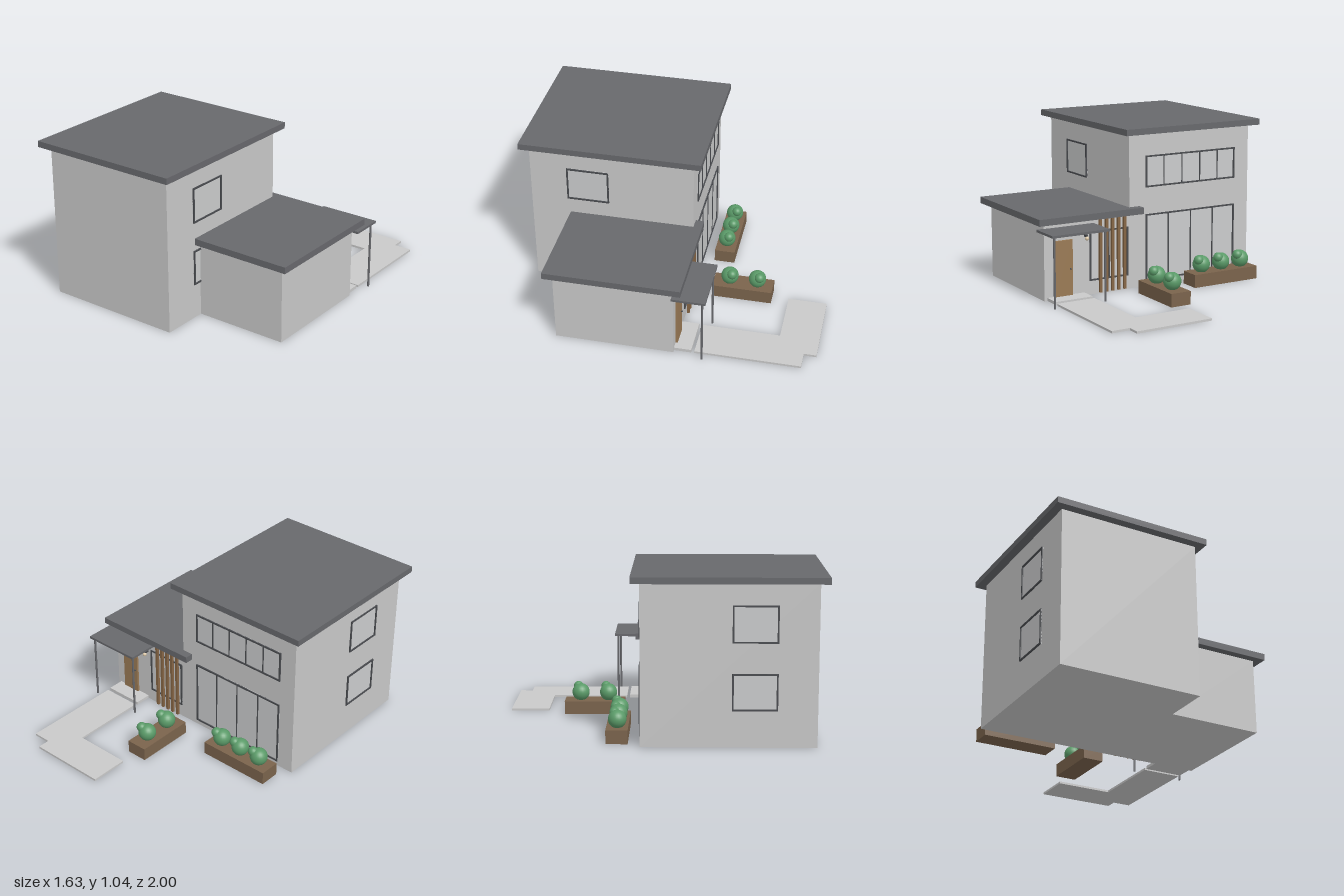
import * as THREE from 'three';

const mat = (name, color) => new THREE.MeshStandardMaterial({ name, color });

export function createModel() {
  const house = new THREE.Group();
  house.name = 'house';
  const wall = mat('wall grey', 0xc8c8c8);
  const roof = mat('roof slate', 0x67686c);
  const frame = mat('frame dark grey', 0x4a4c50);
  const glass = mat('glass pale grey', 0xcacbcc);
  const paving = mat('paving grey', 0xc9c9c9);
  const planterWood = mat('planter brown', 0x7a634c);
  const doorWood = mat('door tan', 0x9a7a55);
  const slatWood = mat('slat brown', 0x856544);
  const leaf = mat('leaf green', 0x5a9a68);
  const lampCream = mat('lamp cream', 0xd8c4a4);

  const add = (parent, name, geometry, material, x = 0, y = 0, z = 0) => {
    const mesh = new THREE.Mesh(geometry, material);
    mesh.name = name;
    mesh.position.set(x, y, z);
    parent.add(mesh);
    return mesh;
  };
  // Box given by its minimum and maximum on each axis
  const block = (parent, name, material, x0, x1, y0, y1, z0, z1) =>
    add(parent, name, new THREE.BoxGeometry(x1 - x0, y1 - y0, z1 - z0), material,
      (x0 + x1) / 2, (y0 + y1) / 2, (z0 + z1) / 2);

  // Two-storey block and single-storey wing, each under a flat overhanging roof
  block(house, 'mainWalls', wall, -0.765, 0.15, 0, 0.998, -0.12, 0.945);
  block(house, 'mainRoof', roof, -0.82, 0.2, 0.998, 1.038, -0.175, 1);
  block(house, 'wingWalls', wall, 0.15, 0.76, 0, 0.49, -0.12, 0.64);
  block(house, 'wingRoof', roof, 0.075, 0.815, 0.49, 0.532, -0.175, 0.69);

  // Window facing +z in its own frame: thin panes, border and mullions
  const addWindow = (name, width, height, panes, x, y, z, turn) => {
    const g = new THREE.Group();
    g.name = name;
    const w = width / 2, h = height / 2, t = 0.01, d = 0.009;
    block(g, 'glass', glass, -w, w, -h, h, 0, 0.002);
    for (const s of [-1, 1]) {
      add(g, 'frameRail', new THREE.BoxGeometry(width, t, d), frame, 0, s * (h - t / 2), d / 2);
      add(g, 'frameStile', new THREE.BoxGeometry(t, height - 2 * t, d), frame, s * (w - t / 2), 0, d / 2);
    }
    for (let i = 1; i < panes; i++)
      add(g, 'mullion', new THREE.BoxGeometry(0.007, height - 2 * t, 0.007), frame,
        -w + (width * i) / panes, 0, 0.0035);
    g.position.set(x, y, z);
    g.rotation.y = turn;
    house.add(g);
  };
  addWindow('upperBackWindow', 0.685, 0.205, 5, -0.312, 0.752, -0.12, Math.PI);
  addWindow('lowerBackWindow', 0.685, 0.44, 4, -0.312, 0.255, -0.12, Math.PI);
  addWindow('wingWindow', 0.28, 0.32, 2, 0.302, 0.25, -0.12, Math.PI);
  for (const y of [0.34, 0.752]) {
    addWindow('leftSideWindow', 0.275, 0.228, 1, 0.15, y, 0.568, Math.PI / 2);
    addWindow('rightSideWindow', 0.275, 0.228, 1, -0.765, y, 0.568, -Math.PI / 2);
  }

  // Entrance: door, step, wall lamp and timber screen
  block(house, 'door', doorWood, 0.567, 0.69, 0.02, 0.375, -0.134, -0.12);
  add(house, 'doorHandle', new THREE.SphereGeometry(0.006, 12, 8), frame, 0.583, 0.19, -0.138);
  block(house, 'doorStep', paving, 0.48, 0.74, 0, 0.02, -0.23, -0.12);
  block(house, 'lampBracket', frame, 0.468, 0.48, 0.38, 0.395, -0.152, -0.12);
  add(house, 'lamp', new THREE.SphereGeometry(0.013, 16, 12), lampCream, 0.474, 0.373, -0.15);
  for (let i = 0; i < 5; i++) {
    const x = 0.195 + i * 0.044;
    block(house, 'screenSlat', slatWood, x - 0.009, x + 0.009, 0.01, 0.49, -0.145, -0.128);
  }

  // Porch canopy on two round posts
  block(house, 'canopy', roof, 0.412, 0.807, 0.445, 0.46, -0.328, -0.115);
  for (const x of [0.432, 0.784])
    add(house, 'canopyPost', new THREE.CylinderGeometry(0.007, 0.007, 0.445, 16), roof, x, 0.2225, -0.305);

  // Bent garden path, drawn as (x, -z) and laid flat
  const outline = [[0.105, 1], [0.105, 0.75], [0.48, 0.75], [0.48, 0.25],
    [0.74, 0.25], [0.74, 0.92], [0.62, 0.92], [0.62, 1]];
  const path = new THREE.Shape(outline.map(([x, y]) => new THREE.Vector2(x, y)));
  add(house, 'gardenPath', new THREE.ExtrudeGeometry(path, { depth: 0.014, bevelEnabled: false }), paving)
    .rotation.x = -Math.PI / 2;

  // Planters with two-ball shrubs
  const addPlanter = (x0, x1, z0, z1, shrubs) => {
    const g = new THREE.Group();
    g.name = 'planter';
    block(g, 'planterBox', planterWood, x0, x1, 0, 0.085, z0, z1);
    for (const [x, z] of shrubs) {
      add(g, 'shrub', new THREE.SphereGeometry(0.057, 24, 16), leaf, x, 0.134, z);
      add(g, 'shrubTop', new THREE.SphereGeometry(0.032, 20, 14), leaf, x + 0.032, 0.167, z - 0.018);
    }
    house.add(g);
  };
  addPlanter(-0.703, -0.217, -0.33, -0.195, [[-0.612, -0.262], [-0.46, -0.262], [-0.308, -0.262]]);
  addPlanter(0.02, 0.16, -0.64, -0.248, [[0.09, -0.355], [0.09, -0.537]]);

  return house;
}
